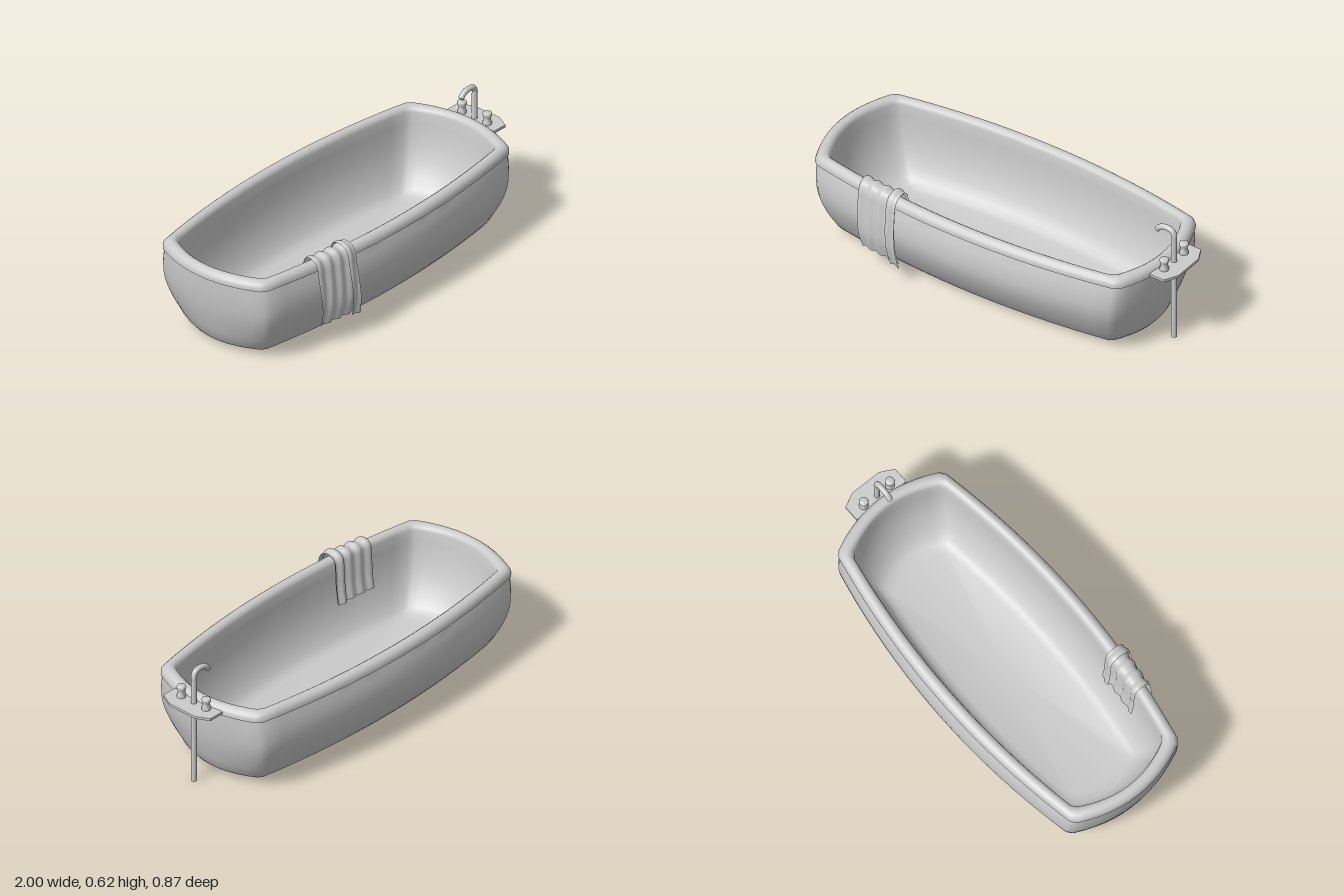
import * as THREE from 'three';
import { toCreasedNormals } from 'three/addons/utils/BufferGeometryUtils.js';

const CX = -0.05;              // tub centre along x
const FX = 0.91, FZ = 0.78;    // corner position as a fraction of the half sizes

const material = new THREE.MeshStandardMaterial({ color: 0xcccccc });
const clothMaterial = new THREE.MeshStandardMaterial({ color: 0xcccccc, side: THREE.DoubleSide });

function add(parent, name, geometry, x = 0, y = 0, z = 0, mat = material) {
  const mesh = new THREE.Mesh(geometry, mat);
  mesh.name = name;
  mesh.position.set(x, y, z);
  parent.add(mesh);
  return mesh;
}

// Unit plan of the tub: bowed ends and bowed long sides meeting in four corners
function unitOutline() {
  const points = [];
  for (const sign of [1, -1]) {
    for (let i = 0; i <= 12; i++) {
      const v = 0.94 * (i / 6 - 1);
      points.push([sign * (1 - (1 - FX) * v * v), sign * FZ * v]);
    }
    for (let i = 0; i <= 20; i++) {
      const u = 0.98 * (1 - i / 10);
      points.push([sign * FX * u, sign * (1 - (1 - FZ) * u * u)]);
    }
  }
  return points;
}

// Skin rings of [height, half length, half width] into one surface
function tubGeometry(rows) {
  const outline = unitOutline(), n = outline.length;
  const positions = [], index = [];
  rows.forEach(([y, hx, hz], i) => {
    outline.forEach(([ox, oz], j) => {
      positions.push(CX + ox * hx, y, oz * hz);
      if (i === rows.length - 1) return;
      const a = i * n + j, b = i * n + (j + 1) % n;
      index.push(a, a + n, b, b, a + n, b + n);
    });
  });
  const geometry = new THREE.BufferGeometry();
  geometry.setAttribute('position', new THREE.Float32BufferAttribute(positions, 3));
  geometry.setIndex(index);
  return toCreasedNormals(geometry, 0.8);
}

// Cloth draped over the front rim, following the bow of the tub
function drapeGeometry(x0, x1, lift, drop) {
  const path = new THREE.CatmullRomCurve3([
    [0.422, 0.115 - drop], [0.443, 0.2], [0.443, 0.3], [0.434, 0.38], [0.426, 0.43],
    [0.41, 0.459], [0.385, 0.47], [0.355, 0.468], [0.335, 0.45], [0.328, 0.4],
    [0.322, 0.3], [0.31, 0.22],
  ].map(([z, y]) => new THREE.Vector3(0, y, z)));
  const geometry = new THREE.PlaneGeometry(1, 1, 28, 48);
  const position = geometry.attributes.position;
  for (let i = 0; i < position.count; i++) {
    const u = position.getX(i) + 0.5, t = position.getY(i) + 0.5;
    const p = path.getPoint(t), d = path.getTangent(t);
    const hang = Math.max(0, 0.45 - p.y);
    const x = x0 + (x1 - x0) * u + (t < 0.5 ? 0.22 * hang * hang : 0);
    const bow = 1 - (1 - FZ) * ((x - CX) / 0.865) ** 2;
    const ripple = lift + 0.005 * Math.sin((x - x0) * 105);
    position.setXYZ(i, x, p.y - d.z * ripple, p.z * bow + d.y * ripple);
  }
  geometry.computeVertexNormals();
  return geometry;
}

export function createModel() {
  const model = new THREE.Group();
  model.name = 'bathtub';

  // Tub: underside, outer wall, rolled rim, inner wall and floor
  add(model, 'tub', tubGeometry([
    [0.013, 0, 0], [0.013, 0.8, 0.26], [0.018, 0.83, 0.29], [0.03, 0.85, 0.308],
    [0.05, 0.866, 0.325], [0.1, 0.885, 0.358], [0.15, 0.902, 0.387], [0.2, 0.916, 0.41],
    [0.24, 0.925, 0.422], [0.28, 0.931, 0.427], [0.33, 0.937, 0.424], [0.37, 0.94, 0.416],
    [0.409, 0.942, 0.404], [0.409, 0.95, 0.412], [0.425, 0.949, 0.411], [0.439, 0.944, 0.405],
    [0.449, 0.933, 0.394], [0.454, 0.918, 0.38], [0.452, 0.903, 0.365], [0.443, 0.892, 0.353],
    [0.428, 0.888, 0.348], [0.37, 0.884, 0.347], [0.28, 0.87, 0.341], [0.2, 0.846, 0.325],
    [0.13, 0.812, 0.298], [0.08, 0.775, 0.268], [0.06, 0.745, 0.245], [0.05, 0.7, 0.215],
    [0.048, 0, 0],
  ]));

  // Towel with a folded-over edge on its right
  const towel = new THREE.Group();
  towel.name = 'towel';
  model.add(towel);
  add(towel, 'towelPanel', drapeGeometry(-0.615, -0.39, 0, 0), 0, 0, 0, clothMaterial);
  add(towel, 'towelFold', drapeGeometry(-0.435, -0.383, 0.01, 0.01), 0, 0, 0, clothMaterial);

  // Tap on its own standing pipe
  const tap = new THREE.Group();
  tap.name = 'tap';
  tap.position.set(0.917, 0, 0.005);
  model.add(tap);

  add(tap, 'standPipe', new THREE.CylinderGeometry(0.014, 0.014, 0.565, 20), 0, 0.2825, 0);
  const spoutPath = new THREE.CatmullRomCurve3([
    [0, 0.56], [0, 0.58], [-0.011, 0.6], [-0.035, 0.607],
    [-0.062, 0.604], [-0.084, 0.592], [-0.096, 0.577],
  ].map(([x, y]) => new THREE.Vector3(x, y, 0)));
  add(tap, 'spout', new THREE.TubeGeometry(spoutPath, 32, 0.014, 20));
  const cap = add(tap, 'spoutEnd', new THREE.CircleGeometry(0.014, 20), -0.096, 0.577, 0);
  cap.lookAt(cap.position.clone().add(spoutPath.getTangent(1)));

  // Shelf plate (drawn in plan, then laid flat)
  const plan = new THREE.Shape([
    [-0.035, -0.15], [0.048, -0.15], [0.083, -0.08],
    [0.083, 0.08], [0.048, 0.15], [-0.035, 0.15],
  ].map(([x, y]) => new THREE.Vector2(x, y)));
  const plate = new THREE.ExtrudeGeometry(plan, {
    depth: 0.009, bevelThickness: 0.003, bevelSize: 0.002, bevelOffset: -0.002, bevelSegments: 2,
  });
  plate.rotateX(-Math.PI / 2);
  add(tap, 'shelf', plate, 0, 0.42, 0);

  // Waisted handles either side of the pipe
  const handleProfile = [
    [0, 0], [0.022, 0], [0.022, 0.012], [0.018, 0.024], [0.017, 0.034],
    [0.021, 0.045], [0.023, 0.054], [0.021, 0.061], [0.016, 0.064], [0, 0.064],
  ].map(([r, y]) => new THREE.Vector2(r, y));
  for (const side of [1, -1]) {
    const handle = toCreasedNormals(new THREE.LatheGeometry(handleProfile, 24), 0.9);
    add(tap, side > 0 ? 'frontHandle' : 'backHandle', handle, 0, 0.43, side * 0.079);
  }
  return model;
}
